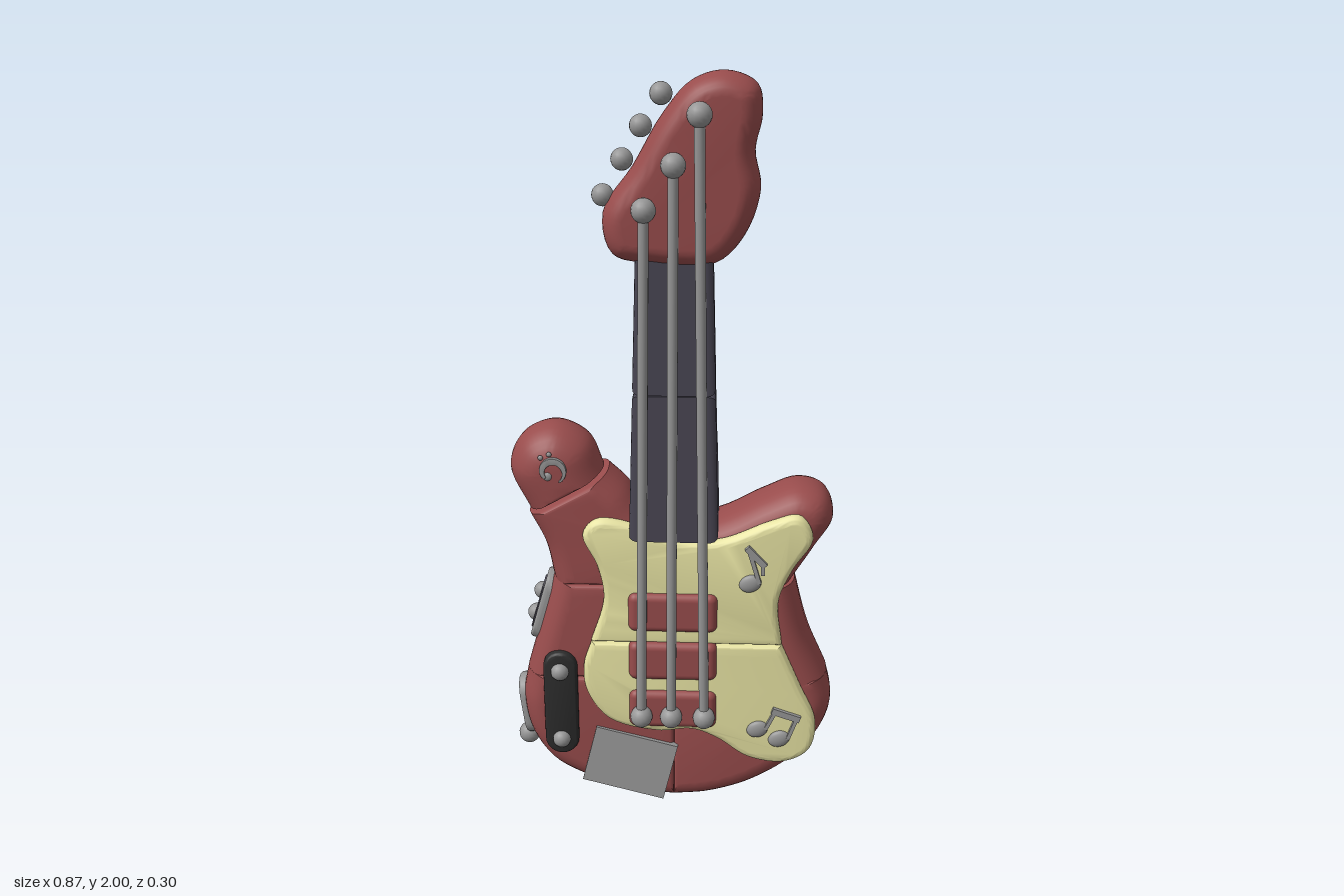
import * as THREE from 'three';
import { toCreasedNormals } from 'three/addons/utils/BufferGeometryUtils.js';
import { RoundedBoxGeometry } from 'three/addons/geometries/RoundedBoxGeometry.js';

const mat = (color) => new THREE.MeshStandardMaterial({ color });
const RED = mat(0x984c4c), DARK = mat(0x484552), CREAM = mat(0xe6e2a2), GREY = mat(0x969696), BLACK = mat(0x2c2c2c);
const SEAM = 0.012, EDGE = 0.065;

// Closed polygon as straight runs sharing one edge radius
const poly = (r, pts) => pts.map((p, i) => [r, [p, pts[(i + 1) % pts.length]]]);

// Capsule outline, long along y
const capsule = (w, h) => Array.from({ length: 26 }, (_, i) => {
  const a = (i < 13 ? i : i - 1) / 12 * Math.PI;
  return [w * Math.cos(a), (i < 13 ? h - w : w - h) + w * Math.sin(a)];
});

// Cushion solid: counter-clockwise runs [radius, points, closed], each run with its own edge rounding
function pillow(runs, z0, z1) {
  const P = [], R = [];
  for (const [r, pts, closed = false] of runs) {
    const curve = new THREE.CatmullRomCurve3(pts.map(([x, y]) => new THREE.Vector3(x, y, 0)), closed);
    const s = curve.getPoints(pts.length === 2 ? 1 : pts.length * 5);
    s.pop();
    for (const p of s) { P.push(p); R.push(r); }
  }
  const n = P.length, H = (z1 - z0) / 2, mid = (z0 + z1) / 2, steps = 16;
  const N = P.map((p, i) => {
    const q = P[(i + 1) % n], l = Math.hypot(q.x - p.x, q.y - p.y) || 1;
    return [-(q.y - p.y) / l, (q.x - p.x) / l];
  });
  const pos = [], idx = [];
  for (let k = 0; k <= steps; k++) {
    const z = H * Math.sin((k / steps - 0.5) * Math.PI);
    const inset = R.map((r) => {
      const h = Math.min(H, 1.4 * r), t = Math.max(0, (Math.abs(z) - H + h) / h);
      return r * (1 - Math.sqrt(Math.max(0, 1 - t * t)));
    });
    for (let i = 0; i < n; i++) {
      const j = (i + n - 1) % n, [ax, ay] = N[j], [bx, by] = N[i], a = inset[j], b = inset[i];
      const det = ax * by - ay * bx, m = 1 + ax * bx + ay * by;
      const same = Math.abs(a - b) < 1e-6 || Math.abs(det) < 0.05;
      const qx = same ? (ax + bx) * (a + b) / 2 / m : (a * by - b * ay) / det;
      const qy = same ? (ay + by) * (a + b) / 2 / m : (ax * b - bx * a) / det;
      pos.push(P[i].x + qx, P[i].y + qy, mid + z);
      if (k < steps) {
        const u = k * n + i, v = k * n + (i + 1) % n;
        idx.push(u, v, v + n, u, v + n, u + n);
      }
    }
  }
  const top = steps * n, cap = [];
  for (let i = 0; i < n; i++) cap.push(new THREE.Vector2(pos[(top + i) * 3], pos[(top + i) * 3 + 1]));
  for (const [a, b, c] of THREE.ShapeUtils.triangulateShape(cap, [])) {
    idx.push(top + a, top + b, top + c, a, c, b);
  }
  const g = new THREE.BufferGeometry();
  g.setAttribute('position', new THREE.Float32BufferAttribute(pos, 3));
  g.setIndex(idx);
  return toCreasedNormals(g, 0.6);
}

export function createModel() {
  const root = new THREE.Group();
  const add = (name, geo, material, parent = root) => {
    const m = new THREE.Mesh(geo, material);
    m.name = name;
    parent.add(m);
    return m;
  };
  const ball = (name, x, y, z, r, parent = root, flat = 1) => {
    const m = add(name, new THREE.SphereGeometry(r, 16, 12), GREY, parent);
    m.position.set(x, y, z);
    m.scale.z = flat;
    return m;
  };
  const bar = (name, x1, y1, x2, y2, w, z) => {
    const m = add(name, new THREE.BoxGeometry(w, Math.hypot(x2 - x1, y2 - y1) + w, 0.016), GREY);
    m.position.set((x1 + x2) / 2, (y1 + y2) / 2, z);
    m.rotation.z = Math.atan2(x1 - x2, y2 - y1);
  };

  // Body: six cushions divided by seams, plus the horn cap
  const body = {
    bodyLowerLeft: [[EDGE, [[0, 0], [0.1, 0.012], [0.22, 0.055], [0.34, 0.14], [0.41, 0.24], [0.43, 0.32], [0.415, 0.4]]],
      [SEAM, [[0.415, 0.4], [0, 0.4]]], [SEAM, [[0, 0.4], [0, 0]]]],
    bodyLowerRight: [[SEAM, [[0, 0], [0, 0.4]]], [SEAM, [[0, 0.4], [-0.405, 0.4]]],
      [EDGE, [[-0.405, 0.4], [-0.42, 0.31], [-0.4, 0.2], [-0.34, 0.11], [-0.22, 0.045], [-0.1, 0.01], [0, 0]]]],
    bodyMiddleLeft: [[SEAM, [[0, 0.4], [0.415, 0.4]]], [EDGE, [[0.415, 0.4], [0.36, 0.53], [0.32, 0.68]]],
      [SEAM, [[0.32, 0.68], [0, 0.68]]], [SEAM, [[0, 0.68], [0, 0.4]]]],
    bodyMiddleRight: [[SEAM, [[-0.405, 0.4], [0, 0.4]]], [SEAM, [[0, 0.4], [0, 0.68]]],
      [SEAM, [[0, 0.68], [-0.325, 0.68]]], [EDGE, [[-0.325, 0.68], [-0.365, 0.54], [-0.405, 0.4]]]],
    bodyUpperLeft: [[SEAM, [[0, 0.68], [0.31, 0.68]]],
      [EDGE, [[0.31, 0.68], [0.37, 0.78], [0.415, 0.865], [0.39, 0.93], [0.32, 0.95], [0.23, 0.915], [0.11, 0.855], [0, 0.845]]],
      [SEAM, [[0, 0.845], [0, 0.68]]]],
    bodyUpperRight: [[SEAM, [[-0.325, 0.68], [0, 0.68]]], [SEAM, [[0, 0.68], [0, 0.845]]],
      [EDGE, [[0, 0.845], [-0.08, 0.88], [-0.13, 0.94], [-0.175, 0.982]]],
      [SEAM, [[-0.175, 0.982], [-0.385, 0.865]]], [EDGE, [[-0.385, 0.865], [-0.345, 0.78], [-0.325, 0.68]]]],
    hornCap: [[SEAM, [[-0.385, 0.872], [-0.188, 0.985]]],
      [0.095, [[-0.188, 0.985], [-0.225, 1.068], [-0.31, 1.108], [-0.395, 1.075], [-0.433, 0.99], [-0.385, 0.872]]]],
  };
  for (const [name, runs] of Object.entries(body)) add(name, pillow(runs, -0.14, 0.066), RED);

  // Pickguard in two halves
  add('pickguardUpper', pillow([[0.01, [[-0.22, 0.527], [0.287, 0.527]]],
    [0.02, [[0.287, 0.527], [0.275, 0.65], [0.31, 0.745], [0.36, 0.835], [0.325, 0.897], [0.25, 0.88], [0.125, 0.828], [0.01, 0.825],
      [-0.1, 0.865], [-0.2, 0.878], [-0.237, 0.835], [-0.2, 0.745], [-0.185, 0.65], [-0.22, 0.527]]]], 0.05, 0.094), CREAM);
  add('pickguardLower', pillow([[0.01, [[0.287, 0.523], [-0.22, 0.523]]],
    [0.02, [[-0.22, 0.523], [-0.242, 0.45], [-0.235, 0.37], [-0.175, 0.285], [-0.04, 0.25], [0.05, 0.258], [0.12, 0.23], [0.2, 0.175],
      [0.3, 0.16], [0.37, 0.2], [0.385, 0.29], [0.34, 0.4], [0.287, 0.523]]]], 0.05, 0.094), CREAM);

  // Neck: side profiles pushed across x and tapered upward
  const neck = {
    neckHeel: [[-0.115, 0.83], [0.105, 0.83], [0.09, 1.22], [-0.02, 1.22], [-0.035, 1.1], [-0.1, 1.02]],
    neckUpper: [[-0.02, 1.222], [0.09, 1.222], [0.085, 1.57], [-0.005, 1.57]],
  };
  for (const [name, pts] of Object.entries(neck)) {
    const g = pillow(poly(0.014, pts), -0.115, 0.115).rotateY(-Math.PI / 2), p = g.attributes.position;
    for (let i = 0; i < p.count; i++) p.setX(i, p.getX(i) * (1 - 0.18 * (p.getY(i) - 0.83) / 0.74));
    add(name, g, DARK);
  }

  // Headstock with tuners along its slanted side
  add('headstock', pillow([[0.05, [[-0.06, 1.548], [0.1, 1.55], [0.17, 1.62], [0.205, 1.73], [0.19, 1.82], [0.205, 1.9], [0.193, 1.97],
    [0.12, 2], [0.04, 1.978], [-0.03, 1.9], [-0.1, 1.78], [-0.172, 1.67], [-0.15, 1.57]], true]], -0.03, 0.108), RED);
  [[-0.032, 1.947], [-0.08, 1.873], [-0.125, 1.795], [-0.172, 1.71]].forEach(([x, y]) => ball('tuner', x, y, 0.04, 0.027));

  // Pickups and bridge
  for (const y of [0.622, 0.477, 0.33]) {
    add(y < 0.4 ? 'bridge' : 'pickup', new RoundedBoxGeometry(0.235, 0.112, 0.05, 4, 0.02), RED).position.set(-0.002, y, 0.085);
  }

  // Strings with a bead at each end
  for (const [x0, x1, y1] of [[-0.085, -0.07, 1.69], [-0.005, 0, 1.795], [0.083, 0.06, 1.91]]) {
    const a = new THREE.Vector3(x0, 0.32, 0.122), b = new THREE.Vector3(x1, y1, 0.122);
    add('string', new THREE.TubeGeometry(new THREE.LineCurve3(a, b), 1, 0.0135, 10), GREY);
    ball('stringBead', a.x, a.y, a.z, 0.03);
    ball('stringBead', b.x, b.y, b.z, 0.03);
  }

  // Tail plate
  const tail = add('tailPlate', new THREE.BoxGeometry(0.23, 0.165, 0.022), GREY);
  tail.position.set(-0.12, 0.145, 0.075);
  tail.rotation.set(-0.1, 0, -0.24);

  // Control strip with two knobs
  add('controlStrip', pillow(poly(0.01, capsule(0.046, 0.158)), 0.03, 0.086), BLACK).position.set(-0.307, 0.328, 0);
  for (const y of [0.43, 0.22]) ball('controlKnob', -0.307, y, 0.083, 0.025);

  // Plates on the right flank, facing -x
  const flank = (name, x, y, tilt, h, knobs) => {
    const g = new THREE.Group();
    g.name = name;
    add('plate', pillow(poly(0.008, capsule(0.05, h)), -0.03, 0.015), GREY, g);
    for (const [ky, r] of knobs) ball('knob', 0, ky, 0.015, r, g);
    g.position.set(x, y, -0.04);
    g.rotation.set(0, -Math.PI / 2, tilt, 'ZYX');
    root.add(g);
    return g;
  };
  const sw = flank('sidePanel', -0.357, 0.575, -0.28, 0.105, [[0.035, 0.024], [-0.035, 0.024]]);
  add('panelInset', pillow(poly(0.004, capsule(0.032, 0.08)), 0.005, 0.019), DARK, sw);
  flank('jackPlate', -0.412, 0.26, 0.12, 0.09, [[-0.1, 0.03]]);

  // Music notes on the pickguard
  const head = (x, y) => {
    const m = ball('noteHead', x, y, 0.096, 0.03, root, 0.4);
    m.scale.y = 0.8;
    m.rotation.z = 0.4;
  };
  head(0.2, 0.712);
  bar('noteStem', 0.222, 0.72, 0.195, 0.81, 0.011, 0.097);
  bar('noteFlag', 0.195, 0.81, 0.232, 0.77, 0.016, 0.097);
  bar('noteFlag', 0.232, 0.77, 0.232, 0.745, 0.01, 0.097);
  head(0.228, 0.272);
  head(0.287, 0.243);
  bar('noteStem', 0.252, 0.28, 0.275, 0.33, 0.01, 0.097);
  bar('noteStem', 0.312, 0.25, 0.333, 0.31, 0.01, 0.097);
  bar('noteBeam', 0.275, 0.33, 0.333, 0.31, 0.018, 0.097);

  // Curled clef ornament: tapering hook, bead and two dots
  const clef = (x, y, z, size, ry, rz) => {
    const g = new THREE.Group(), inner = [], outer = [];
    g.name = 'clefOrnament';
    for (let i = 0; i <= 20; i++) {
      const t = i / 20, a = 3.5 - 4.9 * t, r = 0.62 + 0.2 * t, w = 0.05 + 0.17 * Math.sin(Math.PI * Math.min(1, t * 0.9 + 0.1));
      inner.push([(r - w) * Math.cos(a), (r - w) * Math.sin(a)]);
      outer.unshift([(r + w) * Math.cos(a), (r + w) * Math.sin(a)]);
    }
    add('hook', pillow(poly(0.02, [...inner, ...outer]), -0.15, 0.15), GREY, g);
    ball('bead', -0.42, -0.2, 0, 0.28, g, 0.5);
    for (const dx of [-0.3, 0.3]) ball('dot', dx, 1.15, 0, 0.17, g, 0.7);
    g.position.set(x, y, z);
    g.scale.setScalar(size);
    g.rotation.set(0, ry, rz, 'YXZ');
    root.add(g);
  };
  clef(-0.312, 1.005, 0.066, 0.04, 0, 0.4);
  clef(-0.16, 0.545, -0.143, 0.05, Math.PI, 0);

  return root;
}
